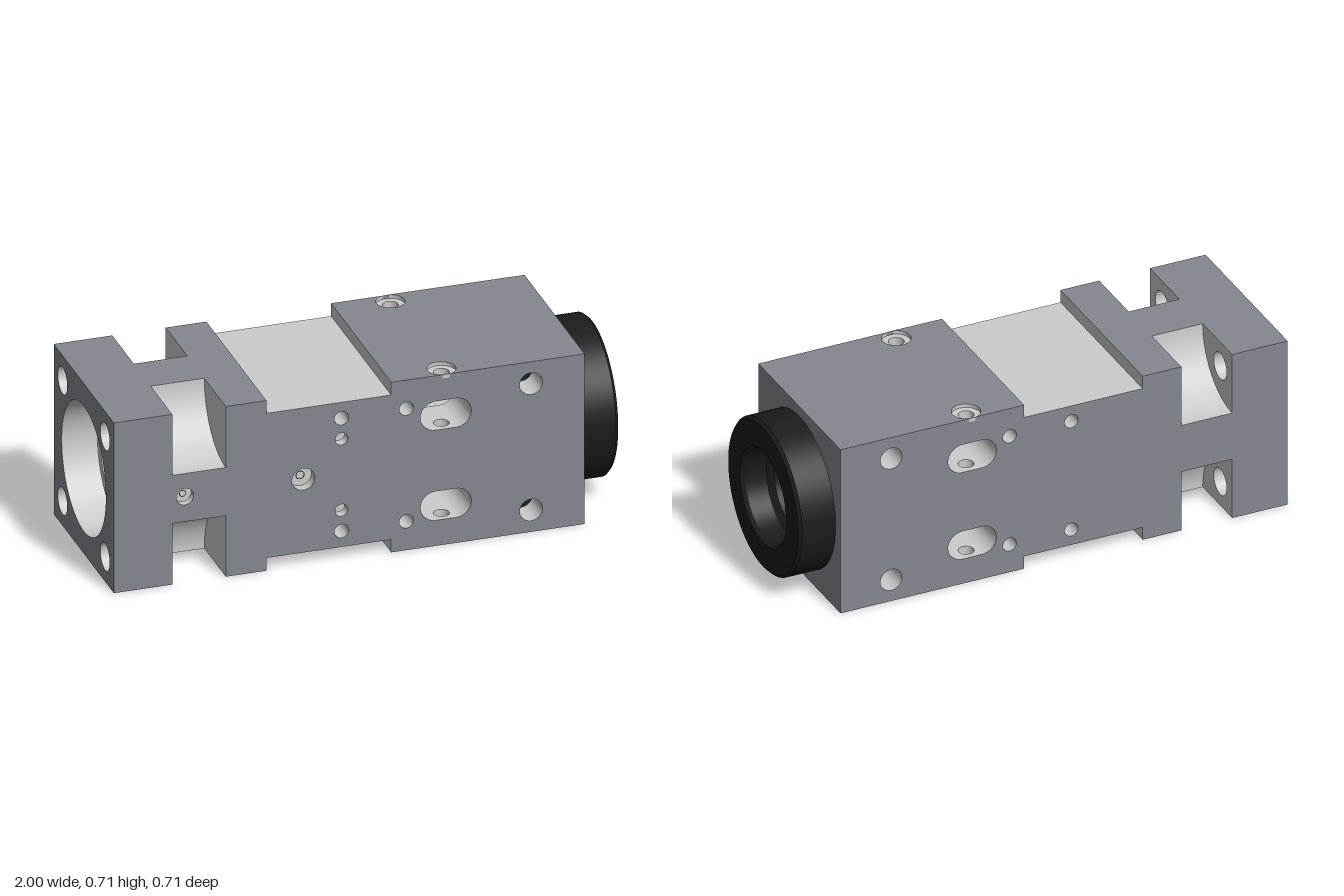
import * as THREE from 'three';

const H = 0.353;                  // half height and half depth of the block
const X0 = -1, X1 = 0.85;         // block ends
const P0 = -0.77, P1 = -0.56, R = 0.253; // corner pockets
const W0 = -0.4, W1 = 0.09, WH = 0.3;    // relieved waist
const SX = 0.305, SY = 0.187, SR = 0.06, SL = 0.06; // side slots
const BORE = 0.2, BOLT = 0.25;
const SLOT_Z = 0.155;             // where the slots break into the bore

const mat = (color) => new THREE.MeshStandardMaterial({ color, side: THREE.DoubleSide });

export function createModel() {
  const dark = mat(0x84878f), light = mat(0xcccccc), black = mat(0x1c1c1c);
  const root = new THREE.Group();
  root.name = 'machinedHousing';
  const body = new THREE.Group();
  body.name = 'body';
  body.position.y = H;
  root.add(body);

  const add = (name, geo, material, parent = body) => {
    const m = new THREE.Mesh(geo, material);
    m.name = name;
    parent.add(m);
    return m;
  };
  const circle = (x, y, r) => new THREE.Path().absarc(x, y, r, 0, Math.PI * 2, true);
  const poly = (pts) => new THREE.Shape(pts.map(([x, y]) => new THREE.Vector2(x, y)));
  const rect = (a, b, c, d) => poly([[a, c], [b, c], [b, d], [a, d]]);
  const sheet = (shape, holes = []) => {
    shape.holes.push(...holes);
    return new THREE.ShapeGeometry(shape, 32);
  };
  const sheetY = (shape, y, holes) => sheet(shape, holes).rotateX(-Math.PI / 2).translate(0, y, 0);
  const sheetX = (shape, x, holes) => sheet(shape, holes).rotateY(Math.PI / 2).translate(x, 0, 0);
  // Open tube between two points
  const tube = (name, r, p, q, material = light, parent = body) => {
    const a = new THREE.Vector3(...p), b = new THREE.Vector3(...q), d = b.clone().sub(a);
    const m = add(name, new THREE.CylinderGeometry(r, r, d.length(), 32, 1, true), material, parent);
    m.quaternion.setFromUnitVectors(new THREE.Vector3(0, 1, 0), d.normalize());
    m.position.copy(a.add(b).multiplyScalar(0.5));
  };
  // Surface of revolution about x, one crisp band per profile step
  const turned = (name, pts, material) => {
    const g = new THREE.Group();
    g.name = name;
    body.add(g);
    for (let i = 1; i < pts.length; i++) {
      const band = [pts[i - 1], pts[i]].map(([x, r]) => new THREE.Vector2(r, x));
      add(name + 'Band', new THREE.LatheGeometry(band, 72).rotateZ(-Math.PI / 2), material, g);
    }
  };

  // Side faces with slots and drilled holes
  const slotPath = (s) => {
    const p = new THREE.Path();
    p.absarc(SX + SL - 0.02, s * SY, SR, -Math.PI / 2, Math.PI / 2, false);
    p.absarc(SX - SL + 0.02, s * SY, SR, Math.PI / 2, Math.PI * 1.5, false);
    p.closePath();
    return p;
  };
  const paired = [[0.64, 0.262, 0.045], [0.15, 0.234, 0.028], [-0.105, 0.234, 0.028]]
    .flatMap(([x, y, r]) => [[x, y, r, 0.12, black], [x, -y, r, 0.12, black]]);
  const frontOnly = [
    [-0.105, 0.148, 0.025, 0.04, light], [-0.105, -0.148, 0.025, 0.04, light],
    [-0.255, 0.004, 0.045, 0.04, light], [-0.72, 0.004, 0.034, 0.03, light],
  ];
  const half = [[X0, H], [P0, H], [P0, H - R], [P1, H - R], [P1, H], [W0, H],
    [W0, WH], [W1, WH], [W1, H], [X1, H]];
  const outline = [...half, ...half.map(([x, y]) => [x, -y]).reverse()];
  for (const s of [1, -1]) {
    const holes = s > 0 ? [...paired, ...frontOnly] : paired;
    const cuts = [slotPath(1), slotPath(-1), ...holes.map(([x, y, r]) => circle(x, y, r))];
    add(s > 0 ? 'frontFace' : 'backFace', sheet(poly(outline), cuts).translate(0, 0, s * H), dark);
    for (const [x, y, r, depth, floor] of holes) {
      tube('drilledHole', r, [x, y, s * H], [x, y, s * (H - depth)]);
      add('holeFloor', new THREE.CircleGeometry(r, 32).translate(x, y, s * (H - depth)), floor);
    }
  }
  // Centre marks in the two middle holes
  for (const [x, z, r] of [[-0.255, H - 0.039, 0.018], [-0.72, H - 0.029, 0.014]])
    add('pilotHole', new THREE.RingGeometry(r * 0.8, r, 24).translate(x, 0.004, z), black);

  // Top and bottom faces, waist floors and steps
  const flange = half.slice(0, 6);
  const flangeOutline = [...flange, ...flange.map(([x, y]) => [x, -y]).reverse()];
  for (const s of [1, -1]) {
    const side = s > 0 ? 'top' : 'bottom';
    const r = s > 0 ? 0.055 : 0.03;
    add(side + 'FlangeFace', sheetY(poly(flangeOutline), s * H), dark);
    add(side + 'RearFace', sheetY(rect(W1, X1, -H, H), s * H,
      [circle(SX, 0.3, r), circle(SX, -0.3, r)]), dark);
    add(side + 'WaistFloor', sheetY(rect(W0, W1, -H, H), s * WH), light);
    for (const x of [W0, W1])
      add(side + 'WaistStep', sheetX(rect(-H, H, Math.min(s * WH, s * H), Math.max(s * WH, s * H)), x), light);
  }

  // Cross-drilled vertical holes, counterbored on top
  for (const z of [0.3, -0.3]) {
    const spans = [[-H, -SY - SR], [-SY + SR, SY - SR], [SY + SR, H - 0.015]];
    for (const [a, b] of spans) tube('verticalHole', 0.03, [SX, a, z], [SX, b, z]);
    tube('counterbore', 0.055, [SX, H - 0.015, z], [SX, H, z]);
    add('counterboreSeat', new THREE.RingGeometry(0.03, 0.055, 32)
      .rotateX(-Math.PI / 2).translate(SX, H - 0.015, z), light);
  }

  // Slot walls, open to the bore in the middle
  const L = SL - 0.02;
  for (const s of [1, -1]) {
    const slot = new THREE.Group();
    slot.name = s > 0 ? 'upperSlot' : 'lowerSlot';
    slot.scale.y = s;
    body.add(slot);
    const quarter = (x, start, len, z) => add('slotEnd',
      new THREE.CylinderGeometry(SR, SR, len, 12, 1, true, start, Math.PI / 2)
        .rotateX(Math.PI / 2).translate(x, SY, z), light, slot);
    quarter(SX + L, Math.PI / 2, 2 * H, 0);
    quarter(SX - L, Math.PI, 2 * H, 0);
    add('slotOuterWall', sheetY(rect(SX - L, SX + L, -H, H), SY + SR,
      [circle(SX, 0.3, 0.03), circle(SX, -0.3, 0.03)]), light, slot);
    for (const k of [1, -1]) {
      const mid = k * (H + SLOT_Z) / 2;
      quarter(SX + L, 0, H - SLOT_Z, mid);
      quarter(SX - L, Math.PI * 1.5, H - SLOT_Z, mid);
      const [a, b] = k > 0 ? [SLOT_Z, H] : [-H, -SLOT_Z];
      add('slotInnerWall', sheetY(rect(SX - L, SX + L, a, b), SY - SR,
        [circle(SX, k * 0.3, 0.03)]), light, slot);
    }
  }

  // End faces
  const corners = [[1, 1], [1, -1], [-1, 1], [-1, -1]];
  add('mountingEndFace', sheetX(rect(-H, H, -H, H), X0,
    [circle(0, 0, 0.26), ...corners.map(([a, b]) => circle(a * BOLT, b * BOLT, 0.055))]), dark);
  add('ringEndFace', sheetX(rect(-H, H, -H, H), X1, [circle(0, 0, BORE)]), dark);

  // Corner pockets with bolt holes through the flange
  for (const [sy, sz] of corners) {
    const pocket = new THREE.Group();
    pocket.name = 'cornerPocket';
    pocket.position.set(0, sy * H, sz * H);
    pocket.scale.set(1, sy, sz);
    body.add(pocket);
    const sector = () => new THREE.Shape().moveTo(0, 0).lineTo(R, 0).absarc(0, 0, R, 0, -Math.PI / 2, true);
    const o = H - BOLT;
    add('pocketCurve', new THREE.CylinderGeometry(R, R, P1 - P0, 24, 1, true, Math.PI / 2, Math.PI / 2)
      .rotateZ(-Math.PI / 2).translate((P0 + P1) / 2, 0, 0), light, pocket);
    add('pocketFlangeWall', sheetX(sector(), P0, [circle(o, -o, 0.055)]), light, pocket);
    add('pocketBodyWall', sheetX(sector(), P1), light, pocket);
    tube('boltHole', 0.055, [X0, -o, -o], [P0, -o, -o], light, pocket);
  }

  // Stepped bore, with only its side arcs left between the slots
  const s0 = SX - L - SR, s1 = SX + L + SR;
  turned('steppedBore', [[X0, 0.26], [-0.86, 0.26], [-0.86, 0.225], [-0.5, 0.225], [-0.5, BORE], [s0, BORE]], light);
  turned('innerBore', [[s1, BORE], [X1, BORE]], light);
  const arc = Math.asin((SY - SR) / BORE);
  for (const t of [0, Math.PI])
    add('boreSideArc', new THREE.CylinderGeometry(BORE, BORE, s1 - s0, 20, 1, true, t - arc, 2 * arc)
      .rotateZ(-Math.PI / 2).translate(SX, 0, 0), light);

  // Black end ring with a flared mouth
  turned('endRing', [[X1, 0.311], [0.988, 0.311], [1, 0.3], [1, 0.198], [0.985, 0.186],
    [0.9, 0.18], [0.88, 0.156], [0.8, 0.156], [0.8, BORE]], black);
  return root;
}
